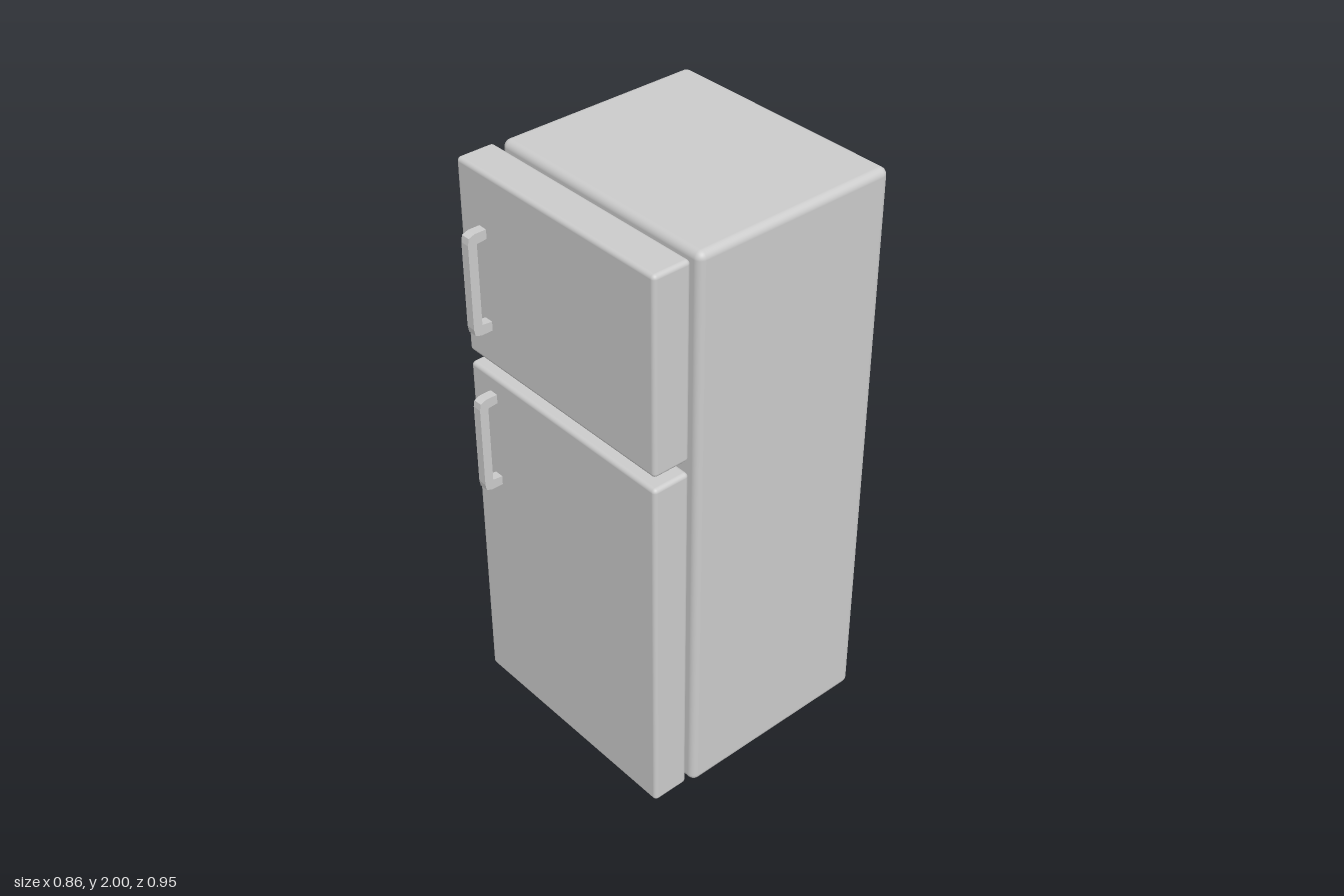
import * as THREE from 'three';
import { RoundedBoxGeometry } from 'three/addons/geometries/RoundedBoxGeometry.js';
import { toCreasedNormals } from 'three/addons/utils/BufferGeometryUtils.js';

const material = new THREE.MeshStandardMaterial({ color: 0xcccccc });

function part(name, geometry, x = 0, y = 0, z = 0) {
  const mesh = new THREE.Mesh(geometry, material);
  mesh.name = name;
  mesh.position.set(x, y, z);
  return mesh;
}

// Rounded box spanning y0..y1 and z0..z1, centred on x
function slab(name, width, y0, y1, z0, z1, radius) {
  const geometry = new RoundedBoxGeometry(width, y1 - y0, z1 - z0, 4, radius);
  return part(name, geometry, 0, (y0 + y1) / 2, (z0 + z1) / 2);
}

// Seal between cabinet and door: a thin block flaring out in a curve towards the door
function gasket(y0, y1) {
  const depth = 0.04, flare = 0.02;
  const geometry = new THREE.BoxGeometry(0.76, y1 - y0, depth, 1, 1, 8);
  const p = geometry.attributes.position;
  for (let i = 0; i < p.count; i++) {
    const t = THREE.MathUtils.clamp((p.getZ(i) + depth / 2) / depth, 0, 1);
    const grow = flare * (1 - Math.sqrt(1 - t * t));
    p.setX(i, p.getX(i) + Math.sign(p.getX(i)) * grow);
    p.setY(i, p.getY(i) + Math.sign(p.getY(i)) * grow);
  }
  return part('gasket', toCreasedNormals(geometry, 0.6), 0, (y0 + y1) / 2, 0.26);
}

// Bracket handle: side profile (depth, height) extruded across its width
function handle(yMid) {
  const h = 0.173, inner = 0.142, base = 0.4, front = 0.472, back = 0.441;
  const shape = new THREE.Shape([
    [base, -h], [front - 0.025, -h], [front - 0.004, -h + 0.008], [front, -h + 0.03],
    [front, h - 0.03], [front - 0.004, h - 0.008], [front - 0.025, h], [base, h],
    [base, inner], [back, inner - 0.004], [back, -inner + 0.004], [base, -inner],
  ].map(([z, y]) => new THREE.Vector2(z, y)));
  const geometry = new THREE.ExtrudeGeometry(shape, { depth: 0.032, bevelEnabled: false });
  geometry.rotateY(-Math.PI / 2);
  return part('handle', geometry, -0.302, yMid, 0);
}

// Door panel with its seal and handle
function door(name, y0, y1, handleY) {
  const group = new THREE.Group();
  group.name = name;
  group.add(
    slab('doorPanel', 0.856, y0, y1, 0.275, 0.406, 0.014),
    gasket(y0 + 0.06, y1 - 0.06),
    handle(handleY),
  );
  return group;
}

export function createModel() {
  const model = new THREE.Group();
  model.name = 'refrigerator';
  model.add(
    slab('cabinet', 0.856, 0, 2, -0.474, 0.246, 0.025),
    door('freezerDoor', 1.339, 2, 1.643),
    door('mainDoor', 0.03, 1.297, 1.063),
  );
  return model;
}
